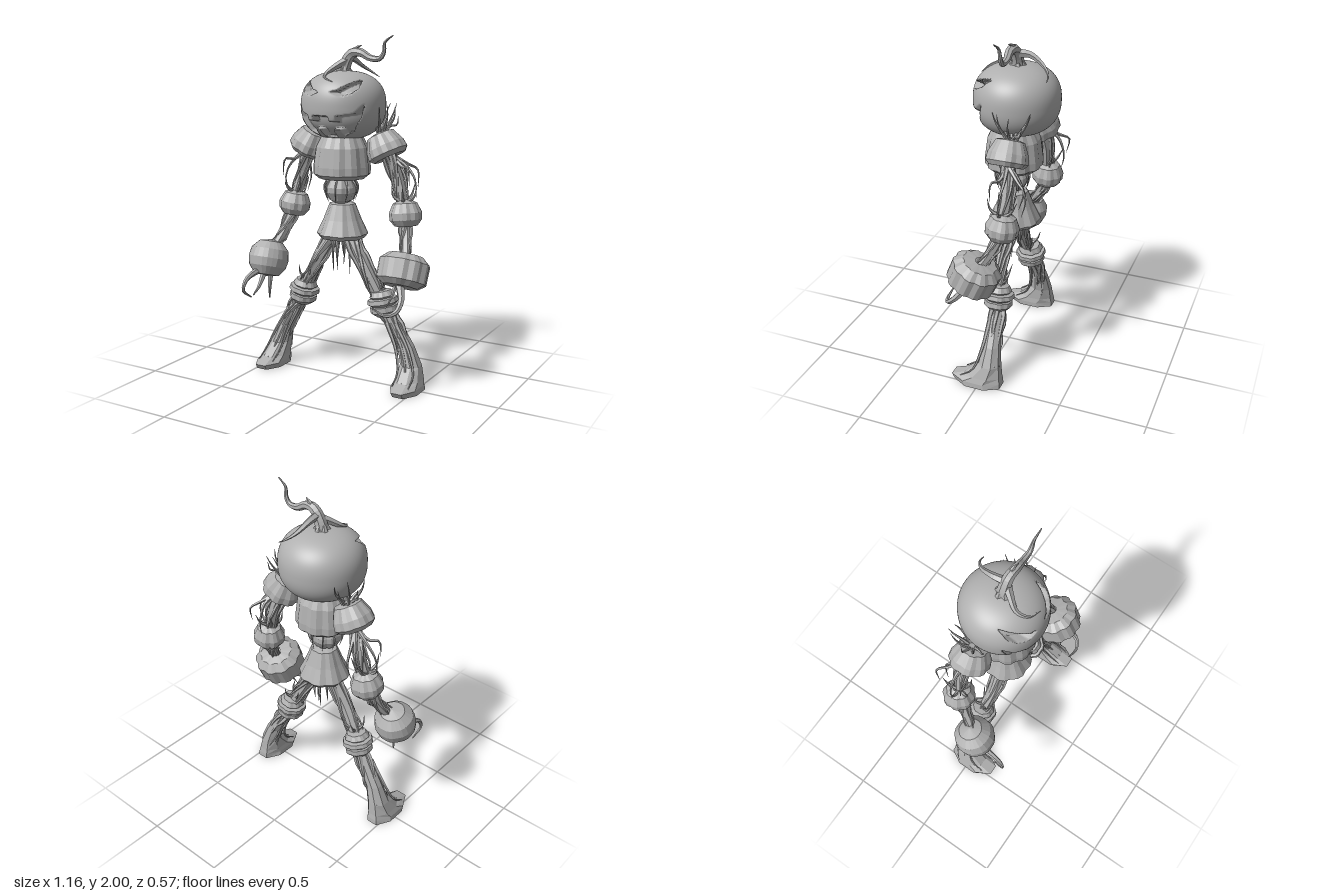
import * as THREE from 'three';

const V = (x, y, z) => new THREE.Vector3(x, y, z);

// small seeded random in -1..1
let seed = 7;
const rnd = () => {
  seed = (seed * 16807) % 2147483647;
  return (seed / 2147483647) * 2 - 1;
};

const flat = (geo) => {
  const g = geo.index ? geo.toNonIndexed() : geo;
  g.computeVertexNormals();
  return g;
};

// tube along a curve, its radius running from r0 to r1
function taper(points, r0, r1 = 0.001, steps = 12, sides = 5) {
  const curve = new THREE.CatmullRomCurve3(points);
  const geo = new THREE.TubeGeometry(curve, steps, 1, sides);
  const pos = geo.attributes.position;
  const v = V();
  for (let i = 0; i < pos.count; i++) {
    const t = Math.floor(i / (sides + 1)) / steps;
    const c = curve.getPointAt(t);
    v.fromBufferAttribute(pos, i).sub(c).multiplyScalar(r0 + (r1 - r0) * t).add(c);
    pos.setXYZ(i, v.x, v.y, v.z);
  }
  return flat(geo);
}

// turned body with flat panels and a narrow groove between them
function gourd(profile, ribs, groove = 0.92) {
  const n = ribs * 3;
  const geo = new THREE.LatheGeometry(profile.map(([r, y]) => new THREE.Vector2(r, y)), n);
  const pos = geo.attributes.position;
  for (let i = 0; i < pos.count; i++) {
    const column = Math.floor(i / profile.length);
    if (column % 3 === 0) pos.setXYZ(i, pos.getX(i) * groove, pos.getY(i), pos.getZ(i) * groove);
  }
  return flat(geo);
}

// carved face outlines, in front-view coordinates
const mouth = [
  [-0.21, 1.63], [-0.165, 1.575], [-0.11, 1.56], [-0.105, 1.53], [-0.07, 1.53], [-0.065, 1.56],
  [0.03, 1.56], [0.035, 1.53], [0.07, 1.53], [0.075, 1.56], [0.165, 1.575], [0.21, 1.63],
  [0.19, 1.55], [0.145, 1.475], [0.09, 1.445], [0.085, 1.485], [0.05, 1.485], [0.045, 1.435],
  [-0.025, 1.435], [-0.03, 1.485], [-0.065, 1.485], [-0.07, 1.44], [-0.13, 1.465], [-0.185, 1.54]];
const eye = [[0.03, 1.69], [0.075, 1.7], [0.12, 1.73], [0.165, 1.755], [0.172, 1.71], [0.145, 1.68], [0.095, 1.665]];
const carvings = [mouth, eye, eye.map(([x, y]) => [-x, y])];

// distance from a point to the outline, 0 when it lies outside
function insideDistance(x, y, poly) {
  let inside = false, best = Infinity;
  poly.forEach(([ax, ay], i) => {
    const [bx, by] = poly[(i + 1) % poly.length];
    if ((ay > y) !== (by > y) && x < ((bx - ax) * (y - ay)) / (by - ay) + ax) inside = !inside;
    const dx = bx - ax, dy = by - ay;
    const t = THREE.MathUtils.clamp(((x - ax) * dx + (y - ay) * dy) / (dx * dx + dy * dy), 0, 1);
    best = Math.min(best, Math.hypot(x - ax - t * dx, y - ay - t * dy));
  });
  return inside ? best : 0;
}

function headGeometry() {
  const geo = new THREE.SphereGeometry(1, 200, 112);
  const pos = geo.attributes.position;
  for (let i = 0; i < pos.count; i++) {
    const x = pos.getX(i), y = pos.getY(i), z = pos.getZ(i);
    const k = Math.pow(Math.hypot(x, z) ** 2.4 + Math.abs(y) ** 2.4, -1 / 2.4);
    const px = x * k * 0.243, py = 1.605 + y * k * 0.195;
    let pz = -0.047 + z * k * 0.243;
    if (z > 0) for (const c of carvings) {
      pz -= 0.055 * THREE.MathUtils.smoothstep(insideDistance(px, py, c), 0, 0.008);
    }
    pos.setXYZ(i, px, py, pz);
  }
  geo.computeVertexNormals();
  return geo;
}

// boot lofted from rectangular rings: [y, xCentre, halfWidth, zBack, zFront]
function bootGeometry(s) {
  const rings = [
    [0, 0.46, 0.08, -0.13, 0.15], [0.03, 0.458, 0.078, -0.128, 0.17], [0.06, 0.455, 0.07, -0.122, 0.09],
    [0.13, 0.445, 0.058, -0.115, 0.01], [0.24, 0.41, 0.045, -0.1, -0.01], [0.4, 0.32, 0.036, -0.085, -0.01]];
  const n = 8, verts = [], index = [];
  rings.forEach(([y, cx, w, zb, zf], j) => {
    for (let i = 0; i < n; i++) {
      const a = ((i + 0.5) / n) * Math.PI * 2;
      verts.push(s * (cx + Math.cos(a) * w * 1.08), y, (zb + zf) / 2 + (Math.sin(a) * (zf - zb) * 1.08) / 2);
      if (j) {
        const a0 = (j - 1) * n + i, a1 = (j - 1) * n + ((i + 1) % n);
        if (s > 0) index.push(a0, a0 + n, a1, a1, a0 + n, a1 + n);
        else index.push(a0, a1, a0 + n, a1, a1 + n, a0 + n);
      }
    }
  });
  const geo = new THREE.BufferGeometry();
  geo.setAttribute('position', new THREE.Float32BufferAttribute(verts, 3));
  geo.setIndex(index);
  return flat(geo);
}

export function createModel() {
  const model = new THREE.Group();
  const grey = new THREE.MeshStandardMaterial({ color: 0xb0b0b0, side: THREE.DoubleSide });

  const add = (name, geo, at, axis) => {
    const mesh = new THREE.Mesh(geo, grey);
    mesh.name = name;
    if (at) mesh.position.copy(at);
    if (axis) mesh.quaternion.setFromUnitVectors(V(0, 1, 0), axis.clone().normalize());
    model.add(mesh);
    return mesh;
  };

  // core branch wrapped in twisting vines whose tips peel away
  const limb = (name, points, r, vines = 5, peel = 2) => {
    add(name, taper(points, r, r * 0.85, 8, 7));
    const curve = new THREE.CatmullRomCurve3(points);
    const steps = 8, frames = curve.computeFrenetFrames(steps);
    for (let k = 0; k < vines; k++) {
      const a0 = (k / vines) * Math.PI * 2 + rnd() * 0.4, twist = 1.6 + rnd();
      const path = [];
      for (let i = 0; i <= steps; i++) {
        const a = a0 + (twist * i) / steps;
        const d = r * (i === steps ? peel : 1 + 0.2 * rnd());
        path.push(curve.getPointAt(i / steps)
          .addScaledVector(frames.normals[i], Math.cos(a) * d)
          .addScaledVector(frames.binormals[i], Math.sin(a) * d));
      }
      add(name + 'Vine', taper(path, r * 0.45, 0.002, 14));
    }
  };

  // head and stem
  add('head', headGeometry());
  add('stem', taper([V(0, 1.76, -0.05), V(0.005, 1.82, -0.05), V(0.05, 1.895, -0.05), V(0.11, 1.9, -0.045),
    V(0.17, 1.87, -0.05), V(0.23, 1.87, -0.05), V(0.255, 1.91, -0.05), V(0.26, 1.955, -0.045), V(0.315, 1.995, -0.04)],
  0.04, 0.003, 30, 7));
  add('stemFoot', gourd([[0.07, 1.775], [0.045, 1.8], [0.03, 1.83]], 5, 0.7), V(0, 0, -0.05));
  add('frontTendril', taper([V(0.03, 1.86, -0.05), V(-0.01, 1.83, 0), V(-0.045, 1.79, 0.06), V(-0.025, 1.765, 0.12),
    V(0.04, 1.745, 0.145)], 0.025, 0.002, 18));
  add('backTendril', taper([V(0.03, 1.87, -0.05), V(0.02, 1.865, -0.13), V(0.04, 1.82, -0.21), V(0.08, 1.785, -0.25),
    V(0.12, 1.76, -0.255)], 0.025, 0.002, 18));
  add('stemThorn', taper([V(0.06, 1.9, -0.05), V(0.09, 1.93, -0.05), V(0.12, 1.94, -0.04)], 0.02));

  // torso
  add('chest', gourd([[0, 1.2], [0.135, 1.19], [0.165, 1.215], [0.165, 1.26], [0.15, 1.37], [0.12, 1.43], [0, 1.45]], 10, 0.94),
    V(0, 0, -0.03));
  add('waist', gourd([[0.03, 1.04], [0.07, 1.065], [0.095, 1.11], [0.095, 1.14], [0.075, 1.19], [0.04, 1.22]], 8), V(0, 0, -0.02));
  add('skirt', gourd([[0, 0.88], [0.13, 0.84], [0.15, 0.865], [0.11, 0.95], [0.075, 1.04], [0, 1.06]], 8, 0.93), V(0, 0, -0.035));
  for (let i = 0; i < 9; i++) {
    const a = (i / 9) * Math.PI * 2, x = Math.cos(a), z = Math.sin(a);
    add('hangingVine', taper([V(x * 0.03, 0.88, -0.035 + z * 0.06), V(x * 0.045, 0.78, -0.035 + z * 0.08),
      V(x * 0.05, 0.68 + rnd() * 0.06, -0.035 + z * 0.07)], 0.014));
    add('waistVine', taper([V(x * 0.06, 1.2, -0.02 + z * 0.06), V(x * 0.1, 1.14, -0.02 + z * 0.1),
      V(x * 0.08, 1.06, -0.02 + z * 0.09)], 0.009));
  }

  for (const s of [1, -1]) {
    const P = (x, y, z) => V(s * x, y, z);

    // shoulder pad with a crown of thorns
    add('shoulder', gourd([[0, -0.01], [0.095, -0.02], [0.118, 0.005], [0.112, 0.05], [0.08, 0.12], [0, 0.14]], 8, 0.93),
      P(0.268, 1.335, -0.09), P(-0.45, 0.89, 0));
    for (let i = 0; i < 9; i++) {
      const a = (i / 9) * Math.PI * 2, x = Math.cos(a), z = Math.sin(a), h = 0.05 * rnd();
      add('shoulderThorn', taper([P(0.215, 1.42, -0.1), P(0.225 + x * 0.04, 1.49, -0.1 + z * 0.05),
        P(0.235 + x * 0.06, 1.54 + h, -0.105 + z * 0.09), P(0.245 + x * 0.05, 1.595 + h, -0.11 + z * 0.11)], 0.014));
    }

    // arm
    limb('upperArm', [P(0.25, 1.38, -0.09), P(0.315, 1.2, -0.115), P(0.365, 1.02, -0.1)], 0.036, 5, 1.3);
    [[0.44, 1.1, -0.1], [0.4, 1.14, -0.21], [0.34, 1.06, -0.2], [0.42, 1.17, -0.05]].forEach(([x, y, z]) =>
      add('armVine', taper([P(0.28, 1.33, -0.1), P((0.3 + x) / 2, 1.27, (z * 1.3 - 0.1) / 2),
        P(x - 0.015, y + 0.1, z * 1.1), P(x, y, z)], 0.015)));
    add('elbow', gourd([[0, -0.07], [0.065, -0.07], [0.092, -0.035], [0.095, 0.005], [0.07, 0.06], [0.03, 0.08]], 8),
      P(0.372, 1.0, -0.105), P(-0.12, 1, -0.1));
    for (let i = 0; i < 5; i++) {
      const a = (i / 5) * Math.PI * 2, x = Math.cos(a), z = Math.sin(a);
      add('elbowThorn', taper([P(0.365, 1.06, -0.1), P(0.365 + x * 0.06, 1.1, -0.1 + z * 0.06),
        P(0.365 + x * 0.075, 1.17, -0.11 + z * 0.09)], 0.014));
    }
    limb('forearm', [P(0.375, 0.97, -0.1), P(0.4, 0.87, -0.06), P(0.44, 0.74, 0.02)], 0.032, 5, 1.5);

    // leg
    limb('thigh', [P(0.04, 0.88, -0.035), P(0.16, 0.68, -0.02), P(0.275, 0.47, -0.04)], 0.04, 6, 1.6);
    add('knee', gourd([[0, -0.07], [0.055, -0.07], [0.082, -0.045], [0.082, -0.015], [0.068, -0.012], [0.092, 0.005],
      [0.088, 0.03], [0.062, 0.034], [0.074, 0.045], [0.058, 0.075], [0, 0.08]], 8, 0.94), P(0.27, 0.475, -0.04), P(-0.22, 1, 0));
    for (let i = 0; i < 4; i++) {
      const a = (i / 4) * Math.PI * 2 + 0.6, x = Math.cos(a), z = Math.sin(a);
      add('kneeThorn', taper([P(0.24, 0.55, -0.04), P(0.235 + x * 0.05, 0.59, -0.04 + z * 0.05),
        P(0.22 + x * 0.065, 0.65, -0.04 + z * 0.08)], 0.012));
    }
    limb('shin', [P(0.27, 0.46, -0.045), P(0.36, 0.32, -0.055), P(0.44, 0.12, -0.06)], 0.04, 6, 1.5);
    add('boot', bootGeometry(s));
    for (const x of [-0.05, 0, 0.05]) {
      add('bootVine', taper([P(0.33 + x * 0.6, 0.37, -0.02), P(0.41 + x * 0.8, 0.22, -0.005),
        P(0.45 + x, 0.1, 0.035), P(0.455 + x, 0.045, 0.11)], 0.014, 0.003));
    }
  }

  // left hand: a broad ribbed drum with a hooked claw
  add('leftHand', gourd([[0, -0.09], [0.1, -0.09], [0.142, -0.06], [0.145, 0.05], [0.1, 0.09], [0.03, 0.1]], 10, 0.93),
    V(0.432, 0.705, 0.04), V(0, 0.91, -0.4));
  add('leftClaw', taper([V(0.43, 0.64, 0.08), V(0.465, 0.56, 0.13), V(0.46, 0.505, 0.19), V(0.41, 0.49, 0.22),
    V(0.33, 0.52, 0.215)], 0.026, 0.004, 16, 6));
  add('leftThumb', taper([V(0.4, 0.64, 0.05), V(0.39, 0.56, 0.1), V(0.37, 0.5, 0.13)], 0.016));

  // right hand: a rounder ball with drooping claws
  add('rightHand', gourd([[0, -0.11], [0.075, -0.1], [0.112, -0.05], [0.122, 0], [0.112, 0.055], [0.07, 0.1], [0, 0.115]], 8, 0.98),
    V(-0.462, 0.675, 0.055), V(0, 0.95, -0.3));
  [[[-0.48, 0.62, 0.12], [-0.49, 0.58, 0.25], [-0.495, 0.52, 0.275], [-0.485, 0.465, 0.21]],
    [[-0.46, 0.61, 0.1], [-0.465, 0.52, 0.16], [-0.47, 0.48, 0.21]],
    [[-0.43, 0.62, 0.08], [-0.425, 0.53, 0.1], [-0.435, 0.44, 0.09]]].forEach((pts) =>
    add('rightClaw', taper(pts.map((p) => V(...p)), 0.022, 0.004, 14, 6)));

  return model;
}
